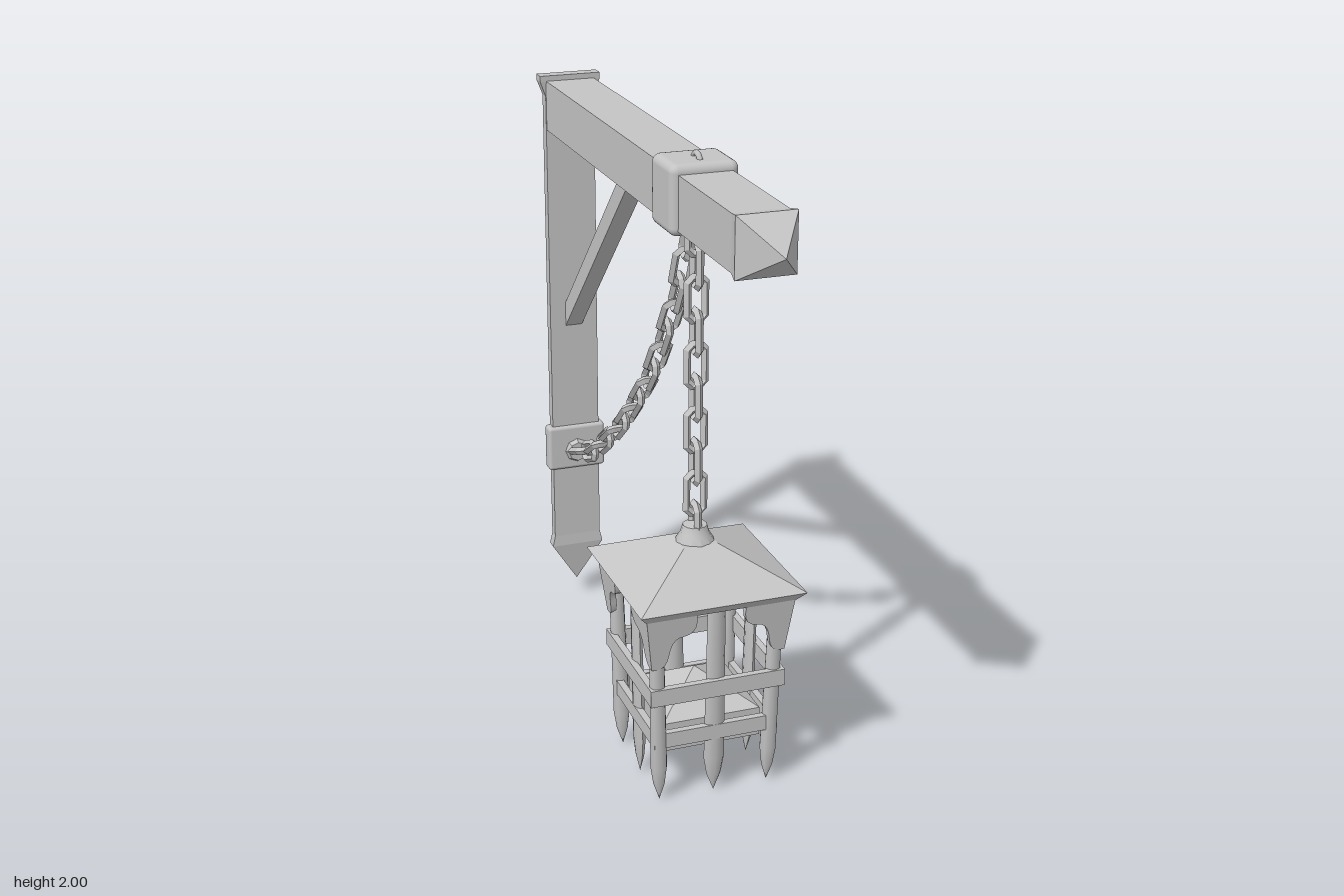
import * as THREE from 'three';
import { toCreasedNormals } from 'three/addons/utils/BufferGeometryUtils.js';
import { RoundedBoxGeometry } from 'three/addons/geometries/RoundedBoxGeometry.js';

const iron = new THREE.MeshStandardMaterial({ color: 0xc4c4c4 });
iron.name = 'plain grey';

function add(parent, name, geometry, x = 0, y = 0, z = 0) {
  const mesh = new THREE.Mesh(geometry, iron);
  mesh.name = name;
  mesh.position.set(x, y, z);
  parent.add(mesh);
  return mesh;
}

function group(parent, name, x = 0, y = 0, z = 0) {
  const g = new THREE.Group();
  g.name = name;
  g.position.set(x, y, z);
  parent.add(g);
  return g;
}

// Square loft from [halfWidth, y] rows, listed bottom to top
function loft(rows, sx = 1, sz = 1) {
  const points = rows.map(([r, y]) => new THREE.Vector2(r * Math.SQRT2, y));
  const g = new THREE.LatheGeometry(points, 4).rotateY(Math.PI / 4).scale(sx, 1, sz).toNonIndexed();
  g.computeVertexNormals();
  return g;
}

// Eight-sided long chain link, standing upright in the yz plane
function linkGeometry() {
  const g = new THREE.TorusGeometry(0.03, 0.013, 4, 8).rotateZ(Math.PI / 8);
  const p = g.attributes.position;
  for (let i = 0; i < p.count; i++) p.setY(i, p.getY(i) + Math.sign(p.getY(i)) * 0.038);
  const flat = g.rotateY(Math.PI / 2).toNonIndexed();
  flat.computeVertexNormals();
  return flat;
}

// Links spaced along a curve in the yz plane, every second one turned a quarter
function addChain(parent, name, curve, count) {
  const chain = group(parent, name);
  const geometry = linkGeometry();
  for (let i = 0; i < count; i++) {
    const p = curve.getPointAt(i / (count - 1));
    const t = curve.getTangentAt(i / (count - 1));
    const holder = group(chain, 'chainLink', p.x, p.y, p.z);
    holder.rotation.x = Math.atan2(t.z, t.y);
    add(holder, 'link', geometry).rotation.y = (i % 2) * Math.PI / 2;
  }
}

// Half of a scalloped corner bracket, leaning outwards towards the eaves
function bracketGeometry(side) {
  const s = new THREE.Shape();
  s.moveTo(side * 0.08, 0.655);
  s.quadraticCurveTo(side * 0.065, 0.585, side * 0.12, 0.58);
  s.quadraticCurveTo(side * 0.155, 0.58, side * 0.162, 0.52);
  s.quadraticCurveTo(side * 0.168, 0.465, side * 0.215, 0.475);
  s.lineTo(side * 0.238, 0.655);
  s.closePath();
  const g = new THREE.ExtrudeGeometry(s, { depth: 0.02, bevelEnabled: false, curveSegments: 5 });
  const p = g.attributes.position;
  for (let i = 0; i < p.count; i++) p.setZ(i, p.getZ(i) + 0.195 + (p.getY(i) - 0.475) * 0.13);
  return toCreasedNormals(g, 0.6);
}

// Pointed lantern bar
function barGeometry(width, thickness) {
  const points = [[0, 0], [0.7, 0.06], [1, 0.12], [0.85, 0.64], [0, 0.64]];
  const g = new THREE.LatheGeometry(points.map(([r, y]) => new THREE.Vector2(r, y)), 8);
  return toCreasedNormals(g.scale(width, 1, thickness), 0.9);
}

function buildLantern(parent) {
  const lantern = group(parent, 'lantern', 0, 0, 0.31);
  add(lantern, 'roof', loft([[0, 0.65], [0.24, 0.65], [0.265, 0.68], [0.055, 0.785], [0, 0.785]]));
  const finial = [[0.06, 0.77], [0.06, 0.785], [0.045, 0.81], [0.038, 0.835], [0, 0.84]];
  add(lantern, 'roofFinial', toCreasedNormals(
    new THREE.LatheGeometry(finial.map(([r, y]) => new THREE.Vector2(r, y)), 12), 0.7));
  add(lantern, 'floor', loft([[0, 0.155], [0.16, 0.155], [0.16, 0.25], [0, 0.345]]));

  const cornerBar = barGeometry(0.027, 0.027);
  const middleBar = barGeometry(0.034, 0.018);
  for (let i = 0; i < 4; i++) {
    const side = group(lantern, 'lanternSide');
    side.rotation.y = i * Math.PI / 2;
    add(side, 'middleBar', middleBar, 0, 0, 0.18).rotation.x = 0.02;
    const corner = add(side, 'cornerBar', cornerBar, 0.178, 0, 0.178);
    corner.rotation.set(0.025, 0, -0.025);
    add(side, 'upperBand', new THREE.BoxGeometry(0.436, 0.055, 0.022), 0, 0.377, 0.207);
    add(side, 'lowerBand', new THREE.BoxGeometry(0.404, 0.05, 0.022), 0, 0.217, 0.191);
    for (const s of [-1, 1]) add(side, 'cornerBracket', bracketGeometry(s));
  }
}

export function createModel() {
  const model = new THREE.Group();
  model.name = 'hangingLantern';

  // Wall post and beam with pyramid tips
  add(model, 'wallPost', loft([[0, 0.07], [0.095, 0.22], [0.086, 0.26], [0.086, 1.9],
    [0.105, 1.95], [0.105, 1.97], [0, 1.97]], 1, 0.22), 0, 0, -0.948);
  add(model, 'beam', loft([[0, -0.95], [0.084, -0.95], [0.082, 0.79], [0.09, 0.835], [0, 0.97]])
    .rotateX(Math.PI / 2), 0, 1.868, 0);

  // Diagonal brace, drawn in side profile
  const profile = new THREE.Shape([[0.2, 1.79], [0.29, 1.79], [0.935, 1.155], [0.935, 1.07]]
    .map(([x, y]) => new THREE.Vector2(x, y)));
  const brace = new THREE.ExtrudeGeometry(profile, { depth: 0.06, bevelEnabled: false });
  add(model, 'brace', brace.translate(0, 0, -0.03).rotateY(Math.PI / 2));

  // Collar around the beam with its staple
  add(model, 'beamCollar', new RoundedBoxGeometry(0.21, 0.21, 0.18, 3, 0.025), 0, 1.873, 0.29);
  const staple = new THREE.TorusGeometry(0.028, 0.009, 6, 12).rotateY(Math.PI / 2);
  add(model, 'topStaple', staple, 0, 1.963, 0.305);
  add(model, 'lowerStaple', staple, 0, 1.772, 0.3);

  // Anchor plate on the post
  add(model, 'anchorPlate', new RoundedBoxGeometry(0.21, 0.165, 0.055, 2, 0.012), 0, 0.612, -0.9425);
  add(model, 'anchorKnob', toCreasedNormals(
    new THREE.CylinderGeometry(0.035, 0.05, 0.03, 8).rotateX(Math.PI / 2), 0.6), 0, 0.6, -0.912);

  // Chains
  const v = (y, z) => new THREE.Vector3(0, y, z);
  addChain(model, 'hangingChain', new THREE.LineCurve3(v(1.66, 0.31), v(0.835, 0.31)), 9);
  add(model, 'topLink', linkGeometry().rotateY(Math.PI / 2), 0, 1.76, 0.31);
  addChain(model, 'wallChain', new THREE.CatmullRomCurve3([
    v(1.72, 0.235), v(1.53, 0.15), v(1.355, 0.035), v(1.19, -0.09), v(1.04, -0.24),
    v(0.9, -0.395), v(0.775, -0.565), v(0.665, -0.74), v(0.62, -0.86)]), 16);

  buildLantern(model);
  return model;
}
